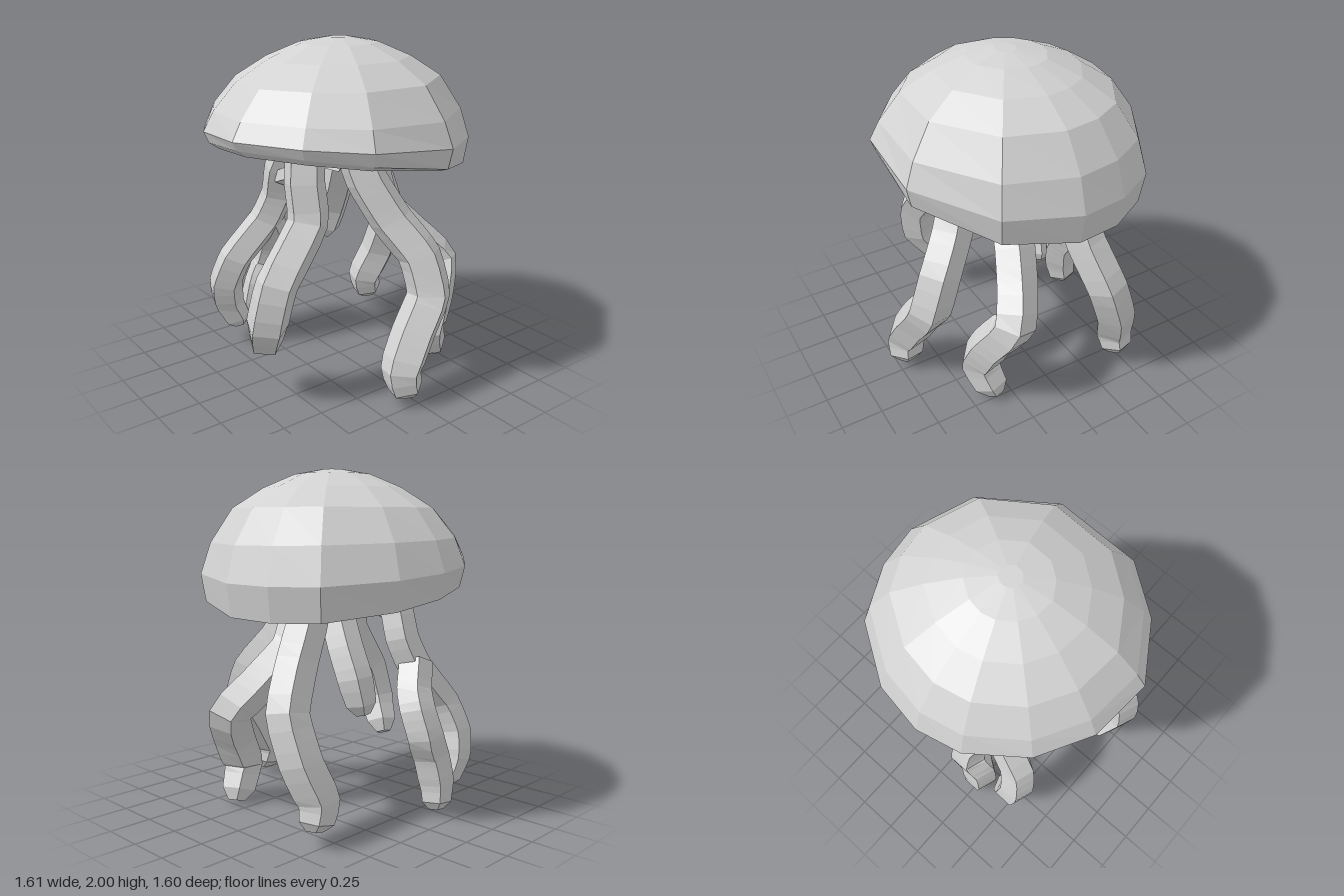
import * as THREE from 'three';

// Skin a list of equal-length rings into a closed, faceted solid
function loft(rings) {
  const pos = [];
  const tri = (a, b, c) => [a, b, c].forEach((p) => pos.push(p.x, p.y, p.z));
  const mid = (ring) => ring.reduce((s, p) => s.add(p), new THREE.Vector3()).divideScalar(ring.length);
  const n = rings[0].length;
  const first = rings[0], last = rings[rings.length - 1];
  const start = mid(first), end = mid(last);
  for (let j = 0; j < n; j++) {
    const k = (j + 1) % n;
    tri(start, first[k], first[j]);
    for (let i = 0; i < rings.length - 1; i++) {
      const a = rings[i], b = rings[i + 1];
      tri(a[j], a[k], b[j]);
      tri(a[k], b[k], b[j]);
    }
    tri(end, last[j], last[k]);
  }
  const g = new THREE.BufferGeometry();
  g.setAttribute('position', new THREE.Float32BufferAttribute(pos, 3));
  g.computeVertexNormals();
  return g;
}

// Kinked limb swept along a path, with a blunt tip
function tentacleGeometry(points, width) {
  const curve = new THREE.CatmullRomCurve3(points.map((p) => new THREE.Vector3(...p)), false, 'catmullrom', 0.25);
  const steps = (points.length - 1) * 3, sides = 5;
  const rings = [];
  for (let i = 0; i <= steps; i++) {
    const s = i / steps;
    const p = curve.getPoint(s);
    const t = curve.getTangent(s);
    t.y -= 0.4; // keeps sections close to level through the bends
    t.normalize();
    const u = new THREE.Vector3(1, 0, 0).addScaledVector(t, -t.x).normalize();
    const v = new THREE.Vector3().crossVectors(t, u);
    let r = width * (s > 0.8 ? 1.06 - (s - 0.8) * 1.4 : 1 + 0.06 * Math.sin((s / 0.8) * Math.PI * 0.5));
    if (i === steps) r *= 0.55;
    const ring = [];
    for (let j = 0; j < sides; j++) {
      const a = (j / sides) * Math.PI * 2 + Math.PI / 2;
      ring.push(p.clone().addScaledVector(u, Math.cos(a) * r).addScaledVector(v, Math.sin(a) * r));
    }
    rings.push(ring);
  }
  return loft(rings);
}

export function createModel() {
  const model = new THREE.Group();
  const skin = new THREE.MeshStandardMaterial({ color: 0xd2d2d2, flatShading: true });
  skin.name = 'pale grey';

  const add = (name, geometry) => {
    const mesh = new THREE.Mesh(geometry, skin);
    mesh.name = name;
    model.add(mesh);
  };

  // Bell: irregular outline (x, z) scaled up through leaning rings
  const outline = [
    [0.8, 0], [0.66, 0.41], [0.22, 0.72], [-0.3, 0.7], [-0.59, 0.48], [-0.8, 0.15], [-0.77, -0.22],
    [-0.6, -0.52], [-0.3, -0.74], [-0.03, -0.8], [0.28, -0.75], [0.63, -0.53], [0.76, -0.28],
  ];
  // Each ring: scale, height, slope along x, slope along z
  const bellRings = [
    [0.08, 2.0, 0, 0], [0.29, 1.97, 0, 0], [0.53, 1.89, 0, 0], [0.76, 1.775, 0, 0],
    [0.925, 1.6, -0.03, 0], [1, 1.45, -0.09, 0.03],
    [0.965, 1.33, -0.17, 0.06], [0.9, 1.315, -0.14, 0.05], // rim
    [0.7, 1.345, -0.06, 0.02], [0.25, 1.365, 0, 0], // shallow underside
  ];
  add('bell', loft(bellRings.map(([s, y, sx, sz]) =>
    outline.map(([x, z]) => new THREE.Vector3(x * s, y + sx * x + sz * z, z * s)))));

  // Tentacles: path points from root to tip, then thickness
  const tentacles = {
    rightTentacle: [[[-0.36, 1.42, 0.17], [-0.39, 1.25, 0.2], [-0.4, 1.03, 0.24], [-0.64, 0.74, 0.29],
      [-0.69, 0.5, 0.26], [-0.62, 0.28, 0.12]], 0.117],
    backRightTentacle: [[[-0.17, 1.42, -0.2], [-0.22, 1.2, -0.3], [-0.21, 1.02, -0.36], [-0.27, 0.85, -0.41],
      [-0.46, 0.62, -0.47], [-0.51, 0.44, -0.53], [-0.48, 0.28, -0.56], [-0.41, 0.12, -0.54]], 0.103],
    backTentacle: [[[-0.27, 0.88, -0.42], [-0.18, 0.73, -0.48], [-0.14, 0.62, -0.54], [-0.15, 0.48, -0.59],
      [-0.22, 0.35, -0.58], [-0.25, 0.18, -0.6], [-0.23, 0.03, -0.62]], 0.107],
    frontTentacle: [[[-0.06, 1.42, 0.22], [-0.02, 1.22, 0.29], [0.07, 1.0, 0.4], [0.17, 0.8, 0.54],
      [0.18, 0.58, 0.62], [0.05, 0.4, 0.65], [-0.07, 0.2, 0.68], [-0.04, 0.05, 0.7]], 0.125],
    frontLeftTentacle: [[[0.15, 1.42, 0.09], [0.18, 1.15, 0.1], [0.25, 0.97, 0.1], [0.42, 0.78, 0.18],
      [0.57, 0.6, 0.28], [0.46, 0.4, 0.37], [0.38, 0.22, 0.4], [0.48, 0.02, 0.35]], 0.123],
    backLeftTentacle: [[[0.34, 1.4, -0.16], [0.4, 1.18, -0.2], [0.51, 0.96, -0.23], [0.65, 0.7, -0.3],
      [0.64, 0.45, -0.39], [0.57, 0.24, -0.45], [0.61, 0.09, -0.46]], 0.117],
    innerTentacle: [[[0.15, 1.42, -0.12], [0.18, 1.2, -0.2], [0.22, 1.0, -0.31], [0.23, 0.84, -0.39],
      [0.2, 0.64, -0.43]], 0.1],
  };
  for (const [name, [points, width]] of Object.entries(tentacles)) add(name, tentacleGeometry(points, width));

  // Short webs joining the roots under the bell
  add('rootWebRight', tentacleGeometry([[-0.38, 1.24, 0.18], [-0.28, 1.23, -0.05], [-0.22, 1.12, -0.34]], 0.06));
  add('rootWebCentre', tentacleGeometry([[-0.18, 1.36, 0.18], [0.02, 1.34, 0], [0.22, 1.3, -0.18]], 0.09));

  return model;
}
